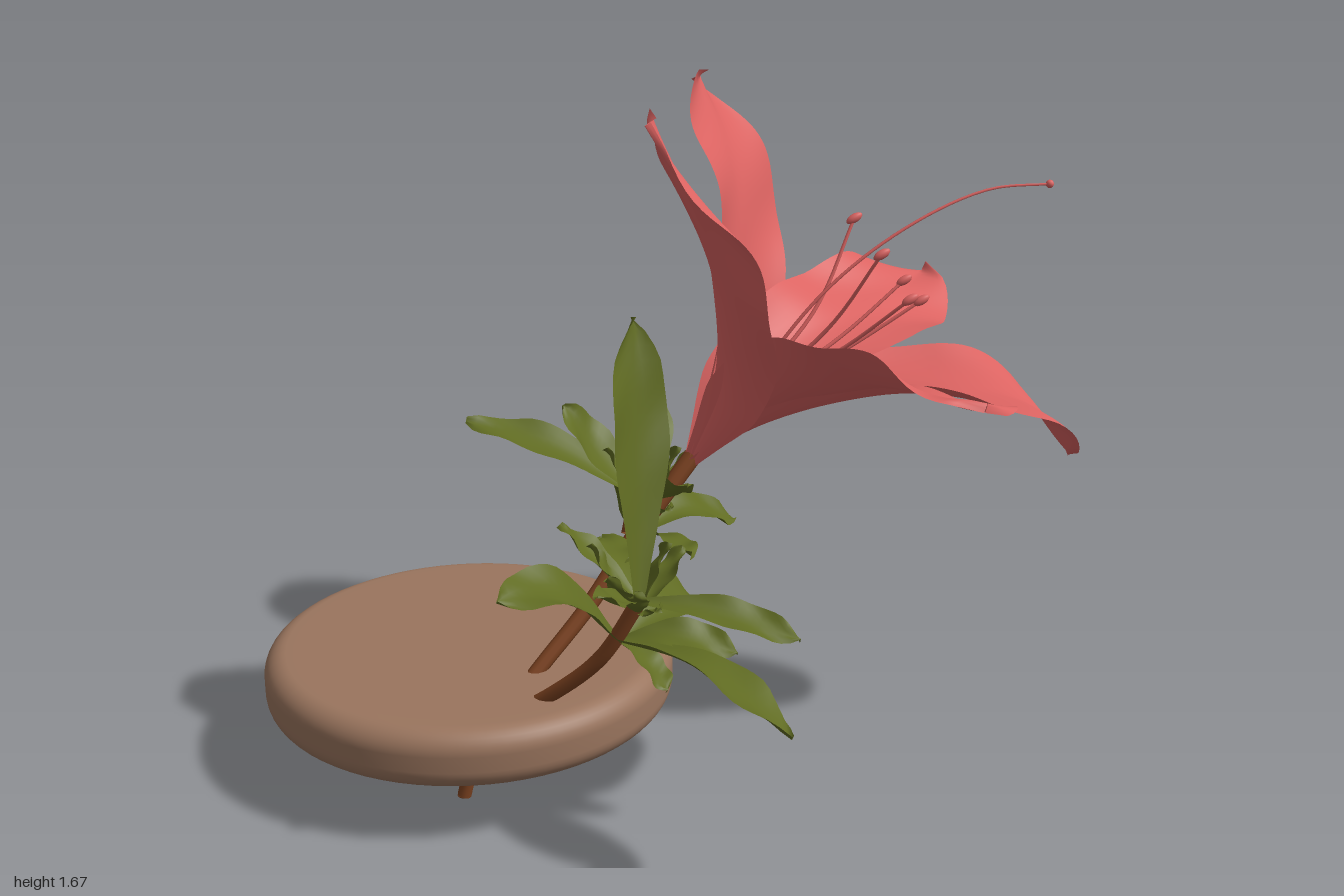
import * as THREE from 'three';

const V = (p) => new THREE.Vector3(...p);
const mat = (name, color, side = THREE.FrontSide) => {
  const m = new THREE.MeshStandardMaterial({ color, side });
  m.name = name;
  return m;
};

// Linear lookup in evenly spaced values
const sample = (values, t) => {
  const f = t * (values.length - 1), i = Math.min(Math.floor(f), values.length - 2);
  return THREE.MathUtils.lerp(values[i], values[i + 1], f - i);
};

// Curved, blunt-ended sheet swept along a spine; sideAt gives its cross direction
function blade(points, widths, sideAt, cups, ruffle, phase, rows, cols) {
  const curve = new THREE.CatmullRomCurve3(points.map(V));
  const pos = [], index = [];
  for (let i = 0; i <= rows; i++) {
    const t = i / rows, p = curve.getPointAt(t), tan = curve.getTangentAt(t);
    const side = sideAt(tan, t).normalize();
    const normal = new THREE.Vector3().crossVectors(tan, side).normalize();
    const w = sample(widths, t) * Math.sqrt(1 - t ** 10) + 0.001, cup = sample(cups, t);
    for (let j = 0; j <= cols; j++) {
      const u = (j / cols) * 2 - 1;
      const wave = ruffle * t * t * Math.abs(u) * Math.sin(t * 17 + u * 2 + phase);
      const q = p.clone().addScaledVector(side, u * w)
        .addScaledVector(normal, cup * w * u * u + wave);
      pos.push(q.x, q.y, q.z);
      if (i < rows && j < cols) {
        const a = i * (cols + 1) + j, b = a + cols + 1;
        index.push(a, a + 1, b, b, a + 1, b + 1);
      }
    }
  }
  const g = new THREE.BufferGeometry();
  g.setAttribute('position', new THREE.Float32BufferAttribute(pos, 3));
  g.setIndex(index);
  g.computeVertexNormals();
  return g;
}

// Round tapering rod along a curve
function rod(points, r0, r1, segs = 32, sides = 10) {
  const curve = new THREE.CatmullRomCurve3(points.map(V));
  const g = new THREE.TubeGeometry(curve, segs, 1, sides), p = g.attributes.position;
  const v = new THREE.Vector3();
  for (let i = 0; i < p.count; i++) {
    const t = Math.floor(i / (sides + 1)) / segs, c = curve.getPointAt(t);
    v.fromBufferAttribute(p, i).sub(c).multiplyScalar(r0 + (r1 - r0) * t).add(c);
    p.setXYZ(i, v.x, v.y, v.z);
  }
  return g;
}

export function createModel() {
  const model = new THREE.Group();
  const pink = mat('petal pink', 0xdb6361, THREE.DoubleSide);
  const green = mat('leaf green', 0x606b22, THREE.DoubleSide);
  const bark = mat('stem brown', 0x7c4220, THREE.DoubleSide);
  const wood = mat('disc tan', 0x9a755e);
  const add = (name, geo, material, parent = model) => {
    const m = new THREE.Mesh(geo, material);
    m.name = name;
    parent.add(m);
    return m;
  };
  const group = (name) => {
    const g = new THREE.Group();
    g.name = name;
    model.add(g);
    return g;
  };

  // Base disc with rounded rims
  const profile = [new THREE.Vector2(0, 0.15), new THREE.Vector2(0.43, 0.15)];
  for (const [cy, start] of [[0.205, -90], [0.245, 0]])
    for (let k = 0; k <= 8; k++) {
      const a = THREE.MathUtils.degToRad(start + k * 11.25);
      profile.push(new THREE.Vector2(0.455 + 0.055 * Math.cos(a), cy + 0.055 * Math.sin(a)));
    }
  profile.push(new THREE.Vector2(0.43, 0.3), new THREE.Vector2(0, 0.3));
  add('baseDisc', new THREE.LatheGeometry(profile, 72), wood).position.set(-0.49, 0, -0.18);

  // Stems
  const stems = group('stems');
  add('mainStem', rod([[-0.535, 0.005, 0.08], [-0.5, 0.13, 0.08], [-0.42, 0.22, 0.06], [-0.33, 0.31, 0.02],
    [-0.21, 0.43, -0.03], [-0.09, 0.58, -0.08], [0.07, 0.77, -0.13]], 0.017, 0.023), bark, stems);
  add('sideStem', rod([[-0.4, 0.25, 0.13], [-0.33, 0.31, 0.18], [-0.22, 0.43, 0.25], [-0.13, 0.6, 0.3]],
    0.018, 0.018), bark, stems);
  add('bud', rod([[-0.08, 0.59, -0.09], [-0.06, 0.7, -0.15], [-0.05, 0.81, -0.18]], 0.036, 0.004, 10), bark, stems);
  // Closed stem foot
  const foot = add('stemFoot', new THREE.SphereGeometry(0.017, 12, 8), bark, stems);
  foot.position.set(-0.535, 0.006, 0.08);
  foot.scale.y = 0.3;

  // Petals around the flower axis: width scale, tilt kept at the tip, cup scale, spine
  const axis = new THREE.Vector3(0.6, 0.78, 0.1).normalize();
  const base = [0.06, 0.755, -0.125];
  const flower = group('flower');
  const petals = [
    [1.08, 1, 0.9, [[0.12, 1.0, -0.02], [0.1, 1.2, 0.08], [0.03, 1.43, 0.15], [-0.09, 1.65, 0.19]]],
    [1.0, 1, 0.8, [[0.16, 1.0, -0.2], [0.21, 1.16, -0.27], [0.23, 1.4, -0.39], [0.16, 1.635, -0.52]]],
    [1.02, 0.65, 1, [[0.2, 0.94, 0.0], [0.34, 1.04, 0.17], [0.48, 1.08, 0.4], [0.53, 1.13, 0.65]]],
    [0.92, 0.6, 1, [[0.21, 0.95, -0.15], [0.4, 1.03, -0.24], [0.6, 1.06, -0.39], [0.79, 1.08, -0.61]]],
    [0.98, 1, 1.35, [[0.25, 0.86, -0.1], [0.45, 0.925, -0.06], [0.7, 0.95, 0.0], [0.88, 0.9, 0.02], [0.99, 0.77, 0.02]]],
  ];
  const petalWidths = [0.015, 0.055, 0.1, 0.125, 0.15, 0.17, 0.185, 0.19, 0.185, 0.175, 0.16];
  petals.forEach(([scale, tilt, cup, pts], i) => {
    const radial = V(pts[pts.length - 1]).sub(V(base));
    radial.addScaledVector(axis, -radial.dot(axis));
    const side = new THREE.Vector3().crossVectors(axis, radial);
    const sideAt = (tan, t) => {
      const s = side.clone();
      s.y *= THREE.MathUtils.lerp(1, tilt, Math.min(1, t * 1.6));
      return s;
    };
    add('petal' + (i + 1), blade([base, ...pts], petalWidths.map((w) => w * scale), sideAt,
      [0.55, 0.5, 0.35, 0.2, 0.1, 0.0].map((c) => c * cup), 0.03, i * 1.7, 48, 14), pink, flower);
  });

  // Stamens and the long pistil
  const tips = [[0.48, 1.3, 0.04], [0.48, 1.33, -0.2], [0.54, 1.2, 0.08], [0.6, 1.18, -0.16], [0.62, 1.15, -0.08]];
  for (const t of tips) {
    const mid = [0.16 + t[0] * 0.45, 0.49 + t[1] * 0.47, -0.06 + t[2] * 0.5];
    add('stamen', rod([[0.15, 0.88, -0.11], mid, t], 0.006, 0.004, 16, 6), pink, flower);
    const anther = add('anther', new THREE.SphereGeometry(0.011, 10, 8), pink, flower);
    anther.position.set(...t);
    anther.scale.set(2, 1, 0.9);
    anther.rotation.z = 0.5;
  }
  add('pistil', rod([[0.15, 0.88, -0.11], [0.38, 1.18, -0.09], [0.58, 1.33, -0.09], [0.78, 1.41, -0.1],
    [0.93, 1.42, -0.09]], 0.005, 0.003, 32, 6), pink, flower);
  add('stigma', new THREE.SphereGeometry(0.01, 10, 8), pink, flower).position.set(0.93, 1.42, -0.09);

  // Leaves: start, tip, half width, arch height and facing direction
  const leafGroup = group('leaves');
  const up = new THREE.Vector3(0, 1, 0), tilted = [0.45, 1, 0.1];
  const leaf = (from, to, w, arch = 0.06, facing = tilted) => {
    const mid = V(from).lerp(V(to), 0.5).addScaledVector(up, arch).toArray();
    add('leaf', blade([from, mid, to], [0.18, 0.38, 0.62, 0.85, 1, 1, 0.8, 0.4].map((k) => k * w),
      (tan) => new THREE.Vector3().crossVectors(V(facing), tan), [0.4, 0.3, 0.2], 0.012, w * 90, 20, 6),
    green, leafGroup);
  };
  const aLow = [-0.08, 0.59, -0.09], a = [-0.04, 0.66, -0.12];
  const bLow = [-0.18, 0.48, 0.27], b = [-0.14, 0.59, 0.3];
  // Cluster on the main stem
  leaf(a, [-0.47, 0.84, -0.29], 0.06, 0.03, [0.2, 1, 0.35]);
  leaf(aLow, [-0.01, 0.42, -0.52], 0.07, 0.1, [0.35, 1, 0]);
  leaf(a, [0.02, 0.9, -0.4], 0.06, -0.02, [0.8, 0.8, 0.2]);
  leaf(aLow, [0.21, 0.53, -0.28], 0.05, 0.05, [0, 1, 0.5]);
  leaf(a, [-0.24, 0.9, -0.19], 0.07, -0.03, [0.7, 0.7, 0.5]);
  leaf(aLow, [0.01, 0.63, 0.16], 0.055, 0.02);
  leaf(a, [0.02, 0.77, 0.06], 0.04, 0);
  // Cluster on the side stem
  leaf(bLow, [-0.47, 0.69, 0.46], 0.07, 0.07, [0.25, 1, 0.3]);
  leaf(bLow, [0.13, 0.42, 0.68], 0.075, 0.05, [0.45, 1, 0.1]);
  leaf(b, [-0.12, 1.21, 0.14], 0.085, 0.02, [0.65, 0, 1]);
  leaf(b, [0.2, 0.54, 0.46], 0.045, 0.02, [0.1, 1, 0.5]);
  leaf(bLow, [0.08, 0.42, 0.01], 0.075, 0.06, [0.45, 1, 0.3]);
  leaf(bLow, [0.08, 0.47, 0.36], 0.045, 0.03, [0, 1, 0.5]);
  leaf(bLow, [-0.09, 0.41, 0.4], 0.045, 0.02);
  leaf(b, [-0.26, 0.7, 0.5], 0.035, 0);
  leaf(b, [-0.3, 0.75, 0.2], 0.05, 0);
  leaf(b, [-0.18, 0.63, 0.01], 0.07, 0.03, [0.25, 1, 0.1]);

  // Short young leaves around each cluster centre
  for (const [c, n] of [[a, 7], [b, 8]])
    for (let i = 0; i < n; i++) {
      const ang = i * 2.4, r = 0.07 + 0.035 * (i % 3), h = 0.14 - 0.045 * (i % 4);
      leaf([c[0], c[1] - 0.03, c[2]], [c[0] + r * Math.cos(ang), c[1] + h, c[2] + r * Math.sin(ang)], 0.03, -0.01,
        [-Math.cos(ang) * 0.6, 1, -Math.sin(ang) * 0.6]);
    }
  return model;
}
